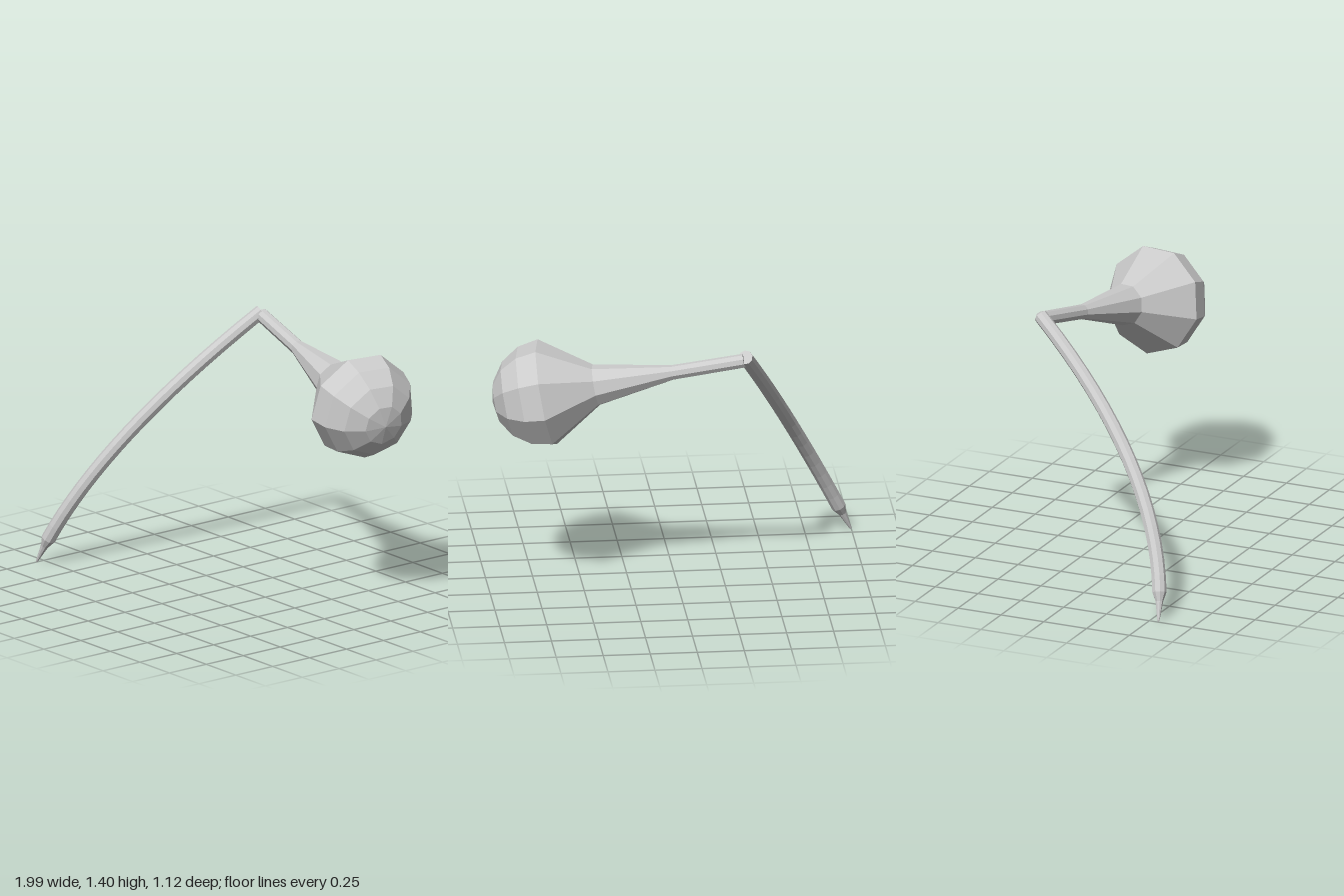
import * as THREE from 'three';

const SIDES = 9;
const material = new THREE.MeshStandardMaterial({ color: 0xcccccc, flatShading: true, side: THREE.DoubleSide });

// Lathe a [radius, t] profile, then carry each ring onto the path point(t);
// side is a direction perpendicular to the whole path.
function sweep(name, profile, point, side) {
  const geo = new THREE.LatheGeometry(profile.map(([r, t]) => new THREE.Vector2(r, t)), SIDES);
  const pos = geo.attributes.position;
  for (let i = 0; i < pos.count; i++) {
    const x = pos.getX(i), t = pos.getY(i), z = pos.getZ(i);
    const tangent = point(t + 0.001).sub(point(t - 0.001)).normalize();
    const across = new THREE.Vector3().crossVectors(side, tangent);
    const p = point(t).addScaledVector(side, x).addScaledVector(across, z);
    pos.setXYZ(i, p.x, p.y, p.z);
  }
  geo.computeVertexNormals();
  const mesh = new THREE.Mesh(geo, material);
  mesh.name = name;
  return mesh;
}

export function createModel() {
  const group = new THREE.Group();
  group.name = 'bulbOnCurvedStem';

  // Straight neck flaring into a faceted bulb with a domed end
  const start = new THREE.Vector3(-0.33, 1.335, -0.443);
  const axis = new THREE.Vector3(1, -0.2, 0.163).normalize();
  const bulbSide = new THREE.Vector3().crossVectors(axis, new THREE.Vector3(0, -1, 0)).normalize();
  const bulbProfile = [[0, 0], [0.038, 0], [0.04, 0.39], [0.112, 0.8]];
  const R = 0.29, domeBase = 1.068;
  for (let i = 0; i <= 4; i++) {
    const a = (i / 4) * Math.PI / 2;
    bulbProfile.push([i === 4 ? 0 : R * Math.cos(a), domeBase + R * Math.sin(a)]);
  }
  group.add(sweep('neckAndBulb', bulbProfile, s => start.clone().addScaledVector(axis, s), bulbSide));

  // Bowed stem, ending in a narrow pointed tip
  const stemPoint = u => new THREE.Vector3(
    -0.345 - 0.585 * u, 1.34 - 1.2 * u, -0.425 + 1.6 * u - 0.65 * u * u);
  const tangentAt = u => stemPoint(u + 0.01).sub(stemPoint(u - 0.01));
  const stemSide = new THREE.Vector3().crossVectors(tangentAt(0), tangentAt(1)).normalize();
  const stemProfile = [[0, -0.012], [0.038, -0.012]];
  for (let i = 1; i <= 16; i++) stemProfile.push([0.039, i / 16]);
  stemProfile.push([0.021, 1.035], [0.006, 1.112], [0, 1.117]);
  group.add(sweep('stemAndTip', stemProfile, stemPoint, stemSide));

  return group;
}
